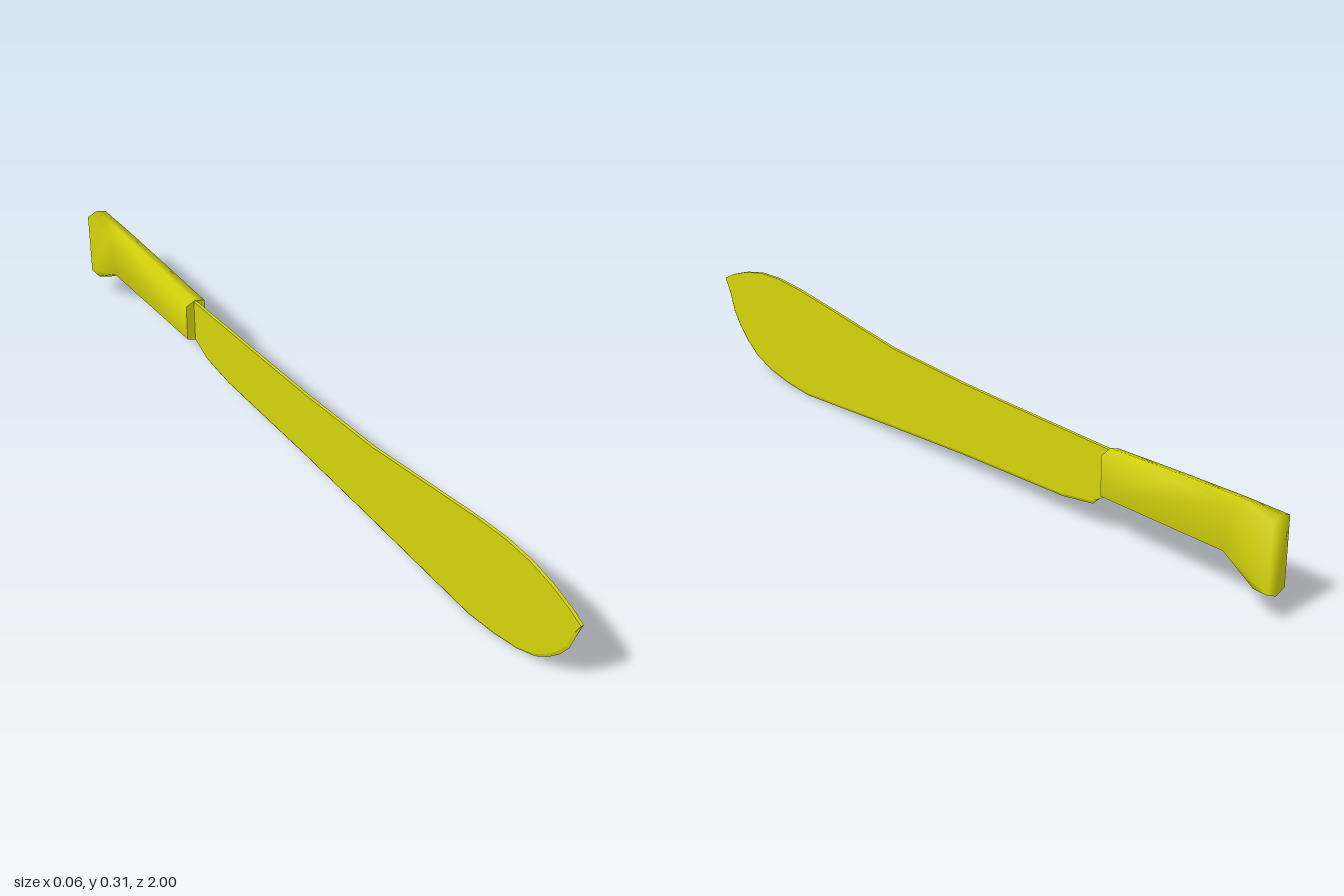
import * as THREE from 'three';

const yellow = new THREE.MeshStandardMaterial({ color: 0xd4d40c });
yellow.name = 'yellow';

// Solid from a centre outline and a side outline mirrored at +-half.
// Outlines are [z, y], counter-clockwise when seen from +x.
function ridgedSolid(centre, side, half, closed) {
  const n = centre.length;
  const pos = [];
  const index = [];
  for (const [ring, x] of [[side, half], [centre, 0], [side, -half]]) {
    for (const [z, y] of ring) pos.push(x, y, z);
  }
  // rim bands on both sides of the centre outline
  for (let r = 0; r < 2; r++) {
    for (let i = 0; i < (closed ? n : n - 1); i++) {
      const j = (i + 1) % n;
      const a = r * n, b = a + n;
      index.push(a + i, b + i, b + j, a + i, b + j, a + j);
    }
  }
  // flat cheeks
  const flat = side.map(([z, y]) => new THREE.Vector2(-z, y));
  for (const [a, b, c] of THREE.ShapeUtils.triangulateShape(flat, [])) {
    index.push(a, b, c, 2 * n + a, 2 * n + c, 2 * n + b);
  }
  const geo = new THREE.BufferGeometry();
  geo.setAttribute('position', new THREE.Float32BufferAttribute(pos, 3));
  geo.setIndex(index);
  return geo;
}

function addPart(group, name, geo) {
  const mesh = new THREE.Mesh(geo, yellow);
  mesh.name = name;
  group.add(mesh);
}

export function createModel() {
  const group = new THREE.Group();
  group.name = 'machete';

  // Blade: ground cutting edge below, square spine above
  const edge = [
    [1, 0.245], [0.985, 0.2], [0.97, 0.155], [0.945, 0.117], [0.91, 0.08], [0.87, 0.05],
    [0.81, 0.026], [0.73, 0.01], [0.64, 0.002], [0.5, 0.012], [0.27, 0.029],
    [0, 0.047], [-0.35, 0.063], [-0.45, 0.08], [-0.47, 0.1], [-0.5, 0.118], [-0.52, 0.12],
  ];
  const spine = [
    [-0.52, 0.237], [-0.15, 0.239], [0, 0.241], [0.27, 0.253], [0.5, 0.283], [0.66, 0.303],
    [0.75, 0.309], [0.83, 0.304], [0.9, 0.288], [0.96, 0.266],
  ];
  const edgeSide = edge.map(([z, y], i) => {
    if (i === 0 || i > 13) return [z, y];
    const du = edge[i - 1][0] - edge[i + 1][0];
    const dv = edge[i + 1][1] - edge[i - 1][1];
    const k = 0.008 / Math.hypot(du, dv);
    return [z + dv * k, y + du * k];
  });
  const blade = ridgedSolid([...edge, ...spine], [...edgeSide, ...spine], 0.004, true).toNonIndexed();
  blade.computeVertexNormals();
  addPart(group, 'blade', blade);

  // Handle: six-sided grip with a hooked pommel
  const bottom = [[-0.5, 0.115], [-0.87, 0.121], [-0.96, 0.065], [-1, 0.065]];
  const top = [[-1, 0.261], [-0.88, 0.259], [-0.7, 0.251], [-0.5, 0.24]];
  const shift = (points, d) => points.map(([z, y]) => [z, y + d]);
  const handle = ridgedSolid(
    [...bottom, ...top], [...shift(bottom, 0.012), ...shift(top, -0.01)], 0.028, false);
  handle.computeVertexNormals();
  addPart(group, 'handle', handle);

  // Flat front face of the handle
  const face = new THREE.Shape([
    [0, 0.115], [0.028, 0.127], [0.028, 0.23], [0, 0.24], [-0.028, 0.23], [-0.028, 0.127],
  ].map(([x, y]) => new THREE.Vector2(x, y)));
  addPart(group, 'handleFrontFace', new THREE.ShapeGeometry(face).translate(0, 0, -0.5));

  return group;
}
